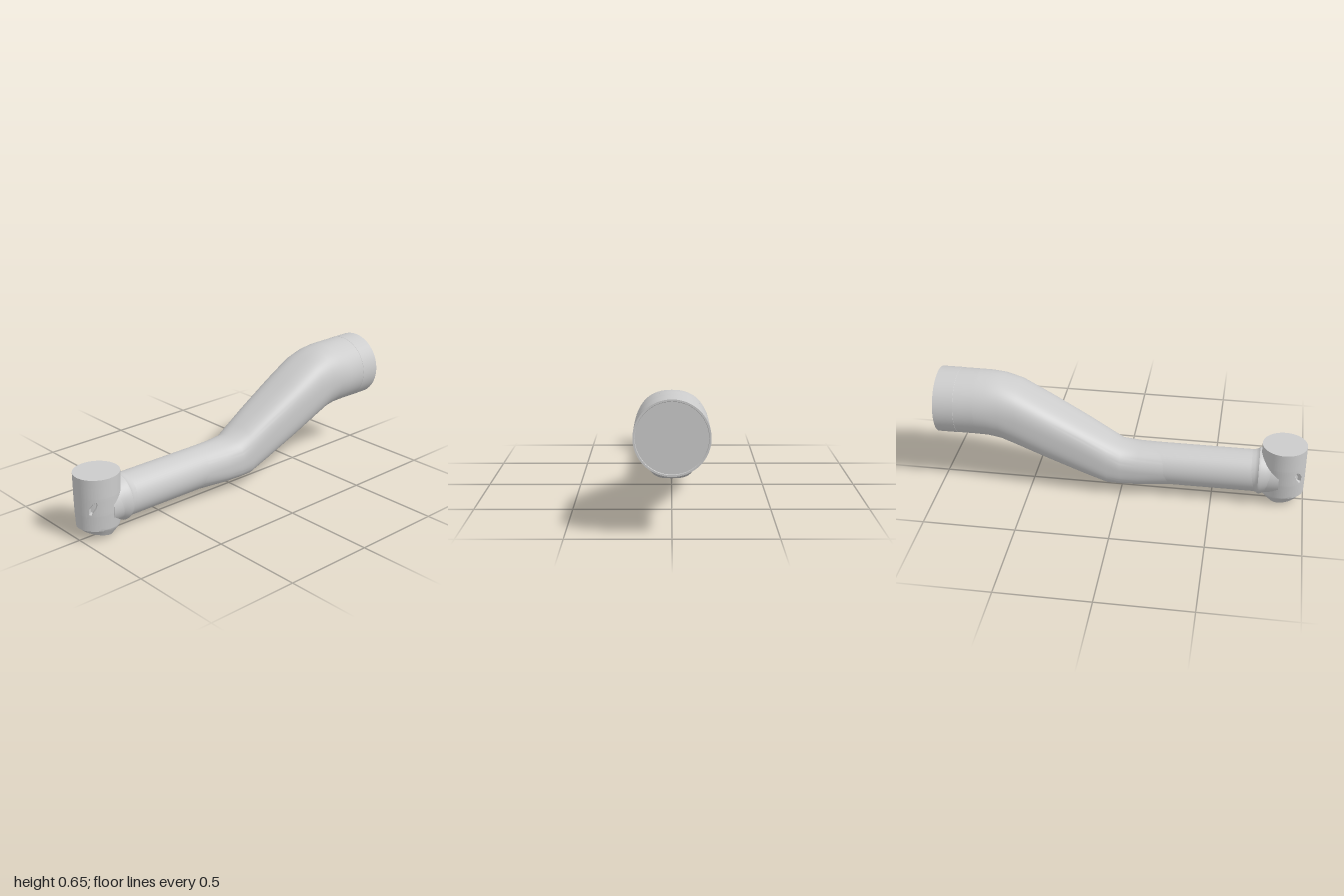
import * as THREE from 'three';
import { mergeVertices, toCreasedNormals } from 'three/addons/utils/BufferGeometryUtils.js';

const material = new THREE.MeshStandardMaterial({ color: 0xcccccc });

// Skin a list of closed rings (arrays of Vector3), with a fan cap on each end
function loft(rings, crease) {
  const n = rings[0].length, pos = [], idx = [];
  rings.forEach(r => r.forEach(p => pos.push(p.x, p.y, p.z)));
  for (let i = 0; i < rings.length - 1; i++) {
    for (let j = 0; j < n; j++) {
      const k = (j + 1) % n, a = i * n, b = a + n;
      idx.push(a + j, b + j, a + k, a + k, b + j, b + k);
    }
  }
  [0, rings.length - 1].forEach((i, end) => {
    const c = new THREE.Vector3();
    rings[i].forEach(p => c.addScaledVector(p, 1 / n));
    const ci = pos.length / 3;
    pos.push(c.x, c.y, c.z);
    for (let j = 0; j < n; j++) {
      const p = i * n + j, q = i * n + (j + 1) % n;
      if (end) idx.push(ci, q, p); else idx.push(ci, p, q);
    }
  });
  const g = new THREE.BufferGeometry();
  g.setAttribute('position', new THREE.Float32BufferAttribute(pos, 3));
  g.setIndex(idx);
  return toCreasedNormals(mergeVertices(g, 1e-5), crease);
}

// Linear interpolation in a table whose first column is the key
function sample(table, t) {
  let i = 0;
  while (i < table.length - 2 && t > table[i + 1][0]) i++;
  const a = table[i], b = table[i + 1], f = (t - a[0]) / (b[0] - a[0]);
  return a.map((v, k) => v + (b[k] - v) * f);
}

// Solid of revolution along z from [radius, z] points
function turned(points, y) {
  const g = new THREE.LatheGeometry(points.map(([r, z]) => new THREE.Vector2(r, z)), 64);
  g.rotateX(Math.PI / 2);
  g.translate(0, y, 0);
  return toCreasedNormals(g, 0.6);
}

// Superelliptic cross-section with separate upper and lower squareness
function section([z, bottom, top, hw, nUp, nDown]) {
  const cy = (top + bottom) / 2, hh = (top - bottom) / 2, ring = [];
  for (let j = 0; j < 72; j++) {
    const a = j / 72 * Math.PI * 2, c = Math.cos(a), s = Math.sin(a);
    const e = 2 / (s >= 0 ? nUp : nDown);
    ring.push(new THREE.Vector3(
      Math.sign(c) * Math.abs(c) ** e * hw, cy + Math.sign(s) * Math.abs(s) ** e * hh, z));
  }
  return ring;
}

// Wrist rings: oval rows going down, tilted at the bottom, with two slanted finger slots
function wristRings() {
  // key, y, half width, front z, back z, tilt
  const rows = [
    [0, 0.306, 0.115, 1.0, 0.76, 0],
    [1, 0.24, 0.115, 1.0, 0.76, 0],
    [2, 0.15, 0.11, 1.0, 0.762, 0],
    [3, 0.058, 0.1, 0.998, 0.768, 0.06],
    [4, 0.022, 0.078, 0.975, 0.815, 0.28],
  ];
  const rings = [];
  for (let i = 0; i <= 48; i++) {
    const [, y, hw, zf, zb, tilt] = sample(rows, i / 12);
    const cz = (zf + zb) / 2, rz = (zf - zb) / 2, ring = [];
    for (let j = 0; j < 144; j++) {
      const a = j / 144 * Math.PI * 2, c = Math.cos(a), s = -Math.sin(a);
      let shrink = 1;
      if (s > 0) {
        const u = (Math.abs(c) * hw - 0.079 - (y - 0.19) * 0.35) / 0.01, v = (y - 0.19) / 0.03;
        if (u * u + v * v < 1) shrink = 0.84;
      }
      ring.push(new THREE.Vector3(c * hw * shrink, y + s * rz * tilt, cz + s * rz * shrink));
    }
    rings.push(ring);
  }
  return rings;
}

export function createModel() {
  const model = new THREE.Group();
  model.name = 'armLink';
  const add = (name, geometry) => {
    const mesh = new THREE.Mesh(geometry, material);
    mesh.name = name;
    model.add(mesh);
    return mesh;
  };

  // Vertical wrist housing and its round lid
  add('wristHousing', loft(wristRings(), 0.55));
  const lid = new THREE.CylinderGeometry(0.117, 0.117, 0.041, 72);
  lid.scale(1, 1, 0.12 / 0.117);
  add('wristLid', lid).position.set(0, 0.3255, 0.88);

  // Straight tube, flaring into the wrist
  add('forearmTube', turned([[0, -0.05], [0.114, -0.05], [0.114, 0.86], [0, 0.86]], 0.165));
  add('wristCollar', turned(
    [[0.113, 0.71], [0.115, 0.73], [0.119, 0.742], [0.126, 0.75], [0.126, 0.762], [0.115, 0.79], [0.112, 0.83]], 0.167));

  // Sloping body, boxy in the middle and round where it meets the tubes
  const body = [
    // z, bottom, top, half width, upper and lower squareness
    [0.28, 0.052, 0.278, 0.112, 2, 2],
    [0.1, 0.05, 0.279, 0.121, 2, 2.8],
    [0.0, 0.05, 0.283, 0.125, 2.2, 3],
    [-0.07, 0.052, 0.32, 0.131, 2.6, 3],
    [-0.2, 0.1, 0.395, 0.139, 3, 2.8],
    [-0.4, 0.182, 0.51, 0.154, 3, 2.6],
    [-0.56, 0.247, 0.602, 0.166, 2.7, 2.3],
    [-0.65, 0.28, 0.637, 0.171, 2.3, 2.1],
    [-0.72, 0.292, 0.648, 0.176, 2.1, 2],
    [-0.79, 0.295, 0.651, 0.178, 2, 2],
  ];
  add('slopingBody', loft(body.map(section), 0.5));

  // Round shoulder end with a flange and closing disc
  add('shoulderBarrel', turned([[0.178, -0.89], [0.178, -0.78]], 0.473));
  add('shoulderFlange', turned(
    [[0, -0.997], [0.168, -0.997], [0.17, -1], [0.179, -1], [0.179, -0.89], [0.177, -0.888]], 0.473));
  return model;
}
